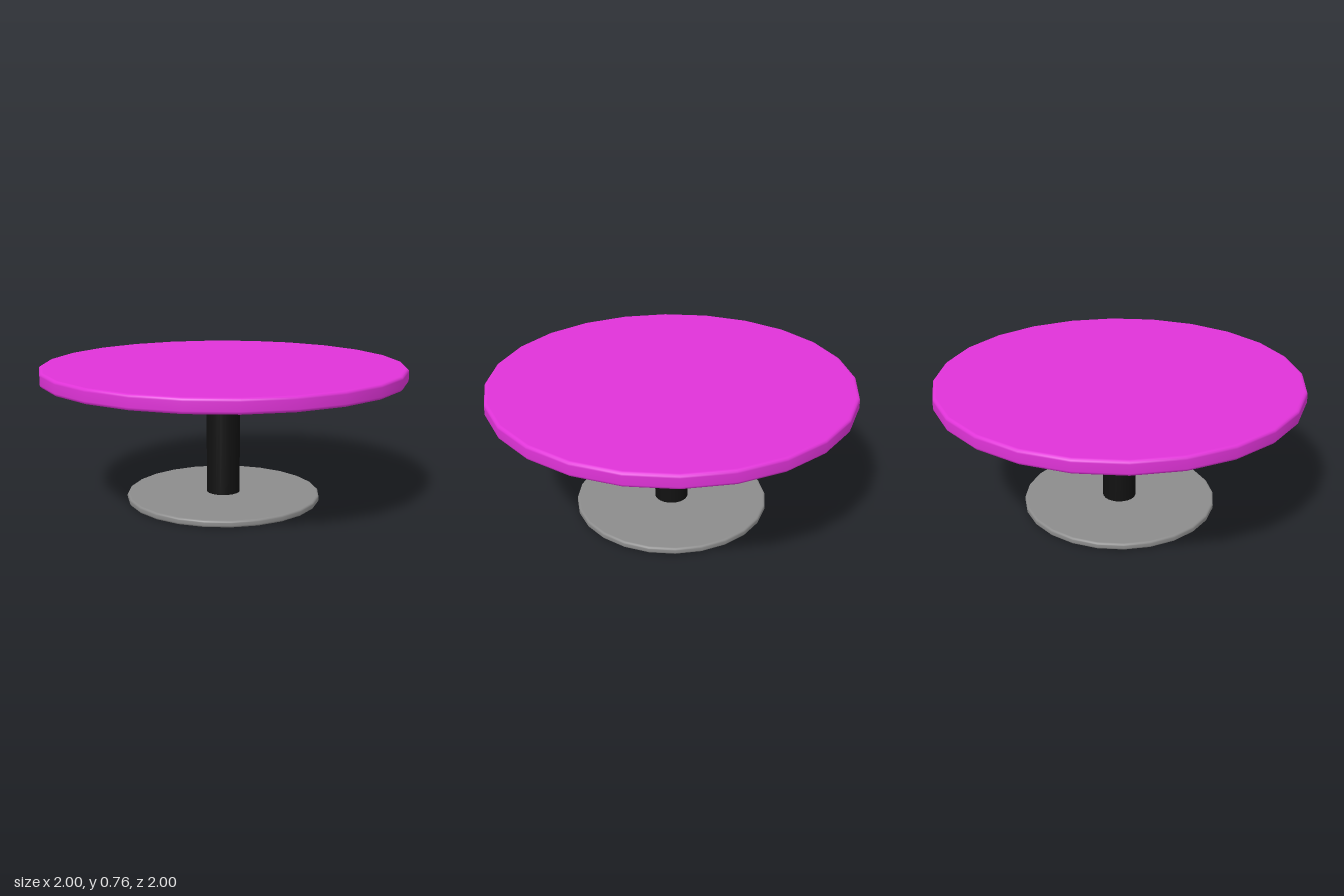
import * as THREE from 'three';

const SIDES = 24;

// Round slab with a softly rounded rim; extra points near the rim keep the faces flat.
function disc(name, radius, y0, y1, bevel, color) {
  const profile = [[0, y0], [radius - bevel * 1.2, y0]];
  for (const [cy, start] of [[y0 + bevel, -90], [y1 - bevel, 0]]) {
    for (let i = 0; i <= 3; i++) {
      const a = THREE.MathUtils.degToRad(start + i * 30);
      profile.push([radius - bevel + Math.cos(a) * bevel, cy + Math.sin(a) * bevel]);
    }
  }
  profile.push([radius - bevel * 1.2, y1], [0, y1]);
  const geometry = new THREE.LatheGeometry(profile.map(([x, y]) => new THREE.Vector2(x, y)), SIDES);
  const mesh = new THREE.Mesh(geometry, new THREE.MeshStandardMaterial({ color }));
  mesh.name = name;
  return mesh;
}

export function createModel() {
  const model = new THREE.Group();
  model.name = 'pedestalTable';

  model.add(disc('tableTop', 1, 0.685, 0.762, 0.016, 0xe033d8));
  model.add(disc('base', 0.54, 0, 0.036, 0.011, 0x8c8c8c));

  // Central column between base and top
  const bottom = 0.03, top = 0.69;
  const column = new THREE.Mesh(
    new THREE.CylinderGeometry(0.093, 0.093, top - bottom, SIDES),
    new THREE.MeshStandardMaterial({ color: 0x111111 })
  );
  column.position.y = (bottom + top) / 2;
  column.name = 'column';
  model.add(column);

  return model;
}
